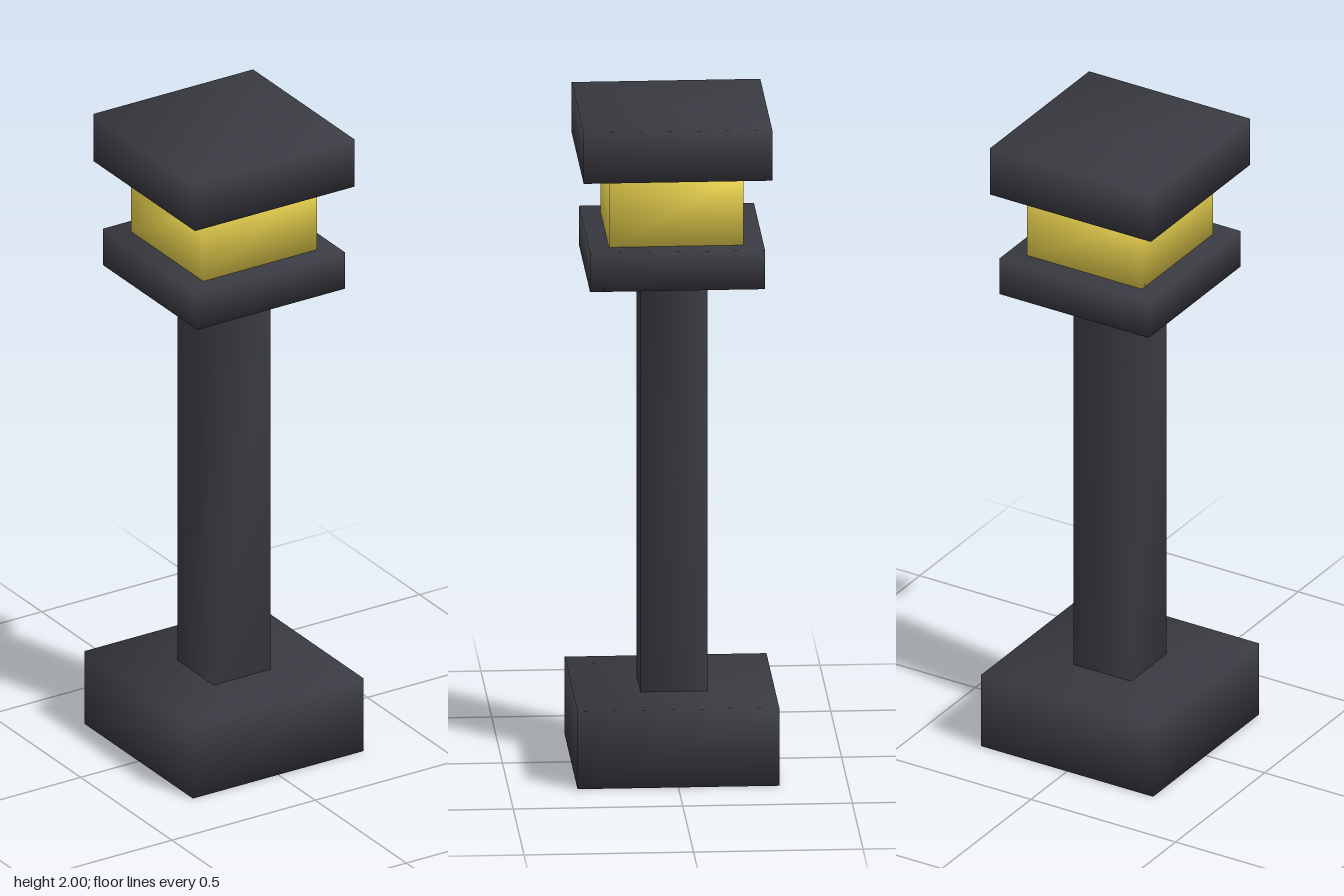
import * as THREE from 'three';
import { mergeVertices } from 'three/addons/utils/BufferGeometryUtils.js';

// Square block spanning y0..y1, with normals shared at its corners for soft shading
function block(name, width, y0, y1, material) {
  let geometry = new THREE.BoxGeometry(width, y1 - y0, width);
  geometry.deleteAttribute('normal');
  geometry.deleteAttribute('uv');
  geometry = mergeVertices(geometry);
  geometry.computeVertexNormals();
  const mesh = new THREE.Mesh(geometry, material);
  mesh.name = name;
  mesh.position.y = (y0 + y1) / 2;
  return mesh;
}

export function createModel() {
  const metal = new THREE.MeshStandardMaterial({ color: 0x3a3a42 });
  const glow = new THREE.MeshStandardMaterial({ color: 0xead34f });

  const model = new THREE.Group();
  model.name = 'lampPost';
  model.add(
    block('base', 0.595, 0, 0.238, metal),
    block('post', 0.198, 0.238, 1.508, metal),
    block('lampTray', 0.516, 1.508, 1.627, metal),
    block('lamp', 0.397, 1.627, 1.845, glow),
    block('cap', 0.556, 1.845, 2, metal)
  );
  return model;
}
